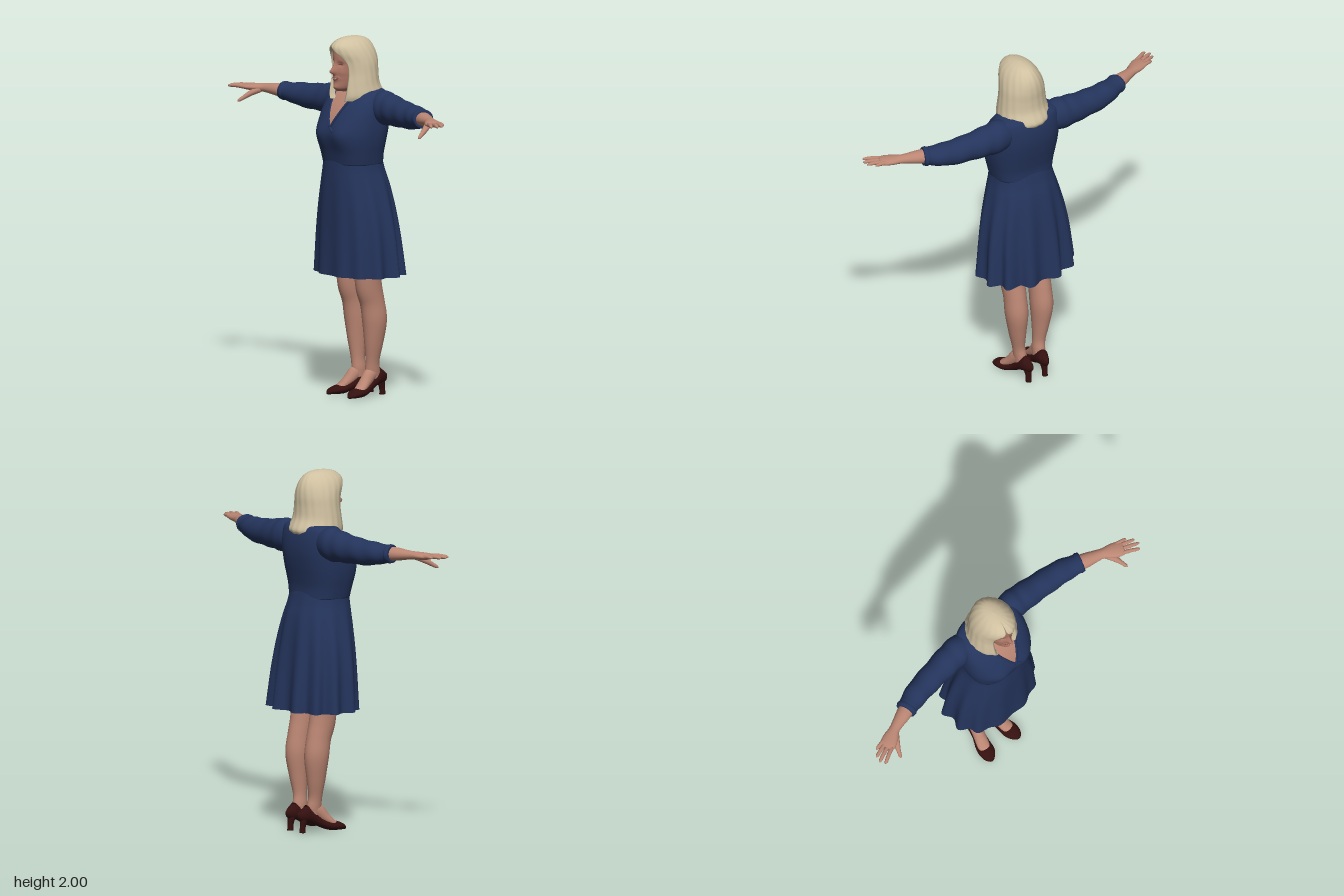
import * as THREE from 'three';
import { mergeVertices } from 'three/addons/utils/BufferGeometryUtils.js';

const flat = (name, color, side = THREE.FrontSide) => {
  const m = new THREE.MeshStandardMaterial({ color, side });
  m.name = name;
  return m;
};
const V = (x, y, z) => new THREE.Vector3(x, y, z);
const bell = (d, w) => Math.exp(-(d * d) / (w * w));
const spow = (v, e) => Math.sign(v) * Math.abs(v) ** e;

// Smooth interpolation through rows of numbers, t in 0..1
function sample(rows, t) {
  const f = t * (rows.length - 1), i = Math.min(Math.floor(f), rows.length - 2), s = f - i;
  const [a, b, c, d] = [-1, 0, 1, 2].map(k => rows[Math.max(0, Math.min(rows.length - 1, i + k))]);
  return b.map((_, k) => b[k] + 0.5 * s * (c[k] - a[k] +
    s * (2 * a[k] - 5 * b[k] + 4 * c[k] - d[k] + s * (3 * (b[k] - c[k]) + d[k] - a[k]))));
}

// Surface from a rule point(iu, iv), welded for smooth normals
function grid(name, mat, nu, nv, point) {
  const pos = [], idx = [];
  for (let j = 0; j <= nv; j++) for (let i = 0; i <= nu; i++) pos.push(...point(i, j).toArray());
  for (let j = 0; j < nv; j++) for (let i = 0; i < nu; i++) {
    const a = j * (nu + 1) + i, b = a + nu + 1;
    idx.push(a, a + 1, b + 1, a, b + 1, b);
  }
  let g = new THREE.BufferGeometry();
  g.setAttribute('position', new THREE.Float32BufferAttribute(pos, 3));
  g.setIndex(idx);
  g = mergeVertices(g, 1e-5);
  g.computeVertexNormals();
  const mesh = new THREE.Mesh(g, mat);
  mesh.name = name;
  return mesh;
}

// Closed tapering limb; rows are [x, y, z, sideRadius, upRadius]
function limb(name, mat, rows, ref, { nu = 20, nv = 30, ripple = () => 1 } = {}) {
  const at = t => V(...sample(rows, t));
  return grid(name, mat, nu, nv + 2, (i, j) => {
    const t = Math.max(0, Math.min(1, (j - 1) / nv)), r = sample(rows, t), a = i / nu * Math.PI * 2;
    const c = V(r[0], r[1], r[2]);
    if (j === 0 || j === nv + 2) return c;
    const dir = at(Math.min(1, t + 0.02)).sub(at(Math.max(0, t - 0.02))).normalize();
    const side = ref.clone().cross(dir).normalize(), up = dir.clone().cross(side), k = ripple(t, a);
    return c.addScaledVector(side, r[3] * k * Math.cos(a)).addScaledVector(up, r[4] * k * Math.sin(a));
  });
}

// Upright body; rows are [y, halfWidth, frontZ, backZ]
function body(name, mat, rows, { e = 1, nu = 72, nv = 48, bump = () => 0, fold = () => 1, open = false } = {}) {
  return grid(name, mat, nu, nv + 2, (i, j) => {
    const t = Math.max(0, Math.min(1, (j - 1) / nv)), [y, rx, zf, zb] = sample(rows, t);
    const a = i / nu * Math.PI * 2, cz = (zf + zb) / 2;
    const k = !open && (j === 0 || j === nv + 2) ? 0 : fold(a, t);
    const x = rx * spow(Math.sin(a), e) * k, c = Math.cos(a);
    return V(x, y, cz + (zf - cz) * spow(c, e) * k + Math.max(0, c) ** 0.5 * k * bump(x, y));
  });
}

// Front z of a body at (x, y)
function frontZ(rows, e, bump, x, y) {
  let lo = 0, hi = 1;
  for (let n = 0; n < 30; n++) {
    const m = (lo + hi) / 2;
    if (sample(rows, m)[0] < y) lo = m; else hi = m;
  }
  const [, rx, zf, zb] = sample(rows, lo);
  const s = Math.min(1, Math.abs(x) / rx) ** (1 / e), c = Math.sqrt(1 - s * s), cz = (zf + zb) / 2;
  return cz + (zf - cz) * c ** e + c ** 0.5 * bump(x, y);
}

const bodiceRows = [[1.3, .176, .182, -.1], [1.36, .188, .192, -.1], [1.42, .2, .202, -.11], [1.48, .207, .204, -.122],
  [1.55, .208, .186, -.132], [1.61, .205, .155, -.132], [1.66, .195, .118, -.125], [1.695, .175, .085, -.112], [1.715, .11, .055, -.09]];
const bust = (x, y) => 0.022 * (bell(x - 0.09, 0.07) + bell(x + 0.09, 0.07)) * bell(y - 1.46, 0.07);
const headRows = [[1.7, .025, .145, .06], [1.72, .046, .162, .02], [1.76, .062, .163, -.02], [1.8, .071, .162, -.04],
  [1.85, .077, .162, -.05], [1.9, .078, .163, -.05], [1.94, .07, .152, -.04], [1.975, .04, .11, -.01]];
const features = (x, y) => 0.034 * bell(x, 0.013) * bell(y - 1.81, 0.018) + 0.014 * bell(x, 0.011) * bell(y - 1.835, 0.025)
  - 0.011 * (bell(x - 0.031, 0.017) + bell(x + 0.031, 0.017)) * bell(y - 1.85, 0.013)
  + 0.006 * (bell(x - 0.042, 0.02) + bell(x + 0.042, 0.02)) * bell(y - 1.805, 0.02)
  + 0.007 * bell(x, 0.03) * bell(y - 1.772, 0.012) + 0.007 * bell(x, 0.02) * bell(y - 1.722, 0.015);

export function createModel() {
  const root = new THREE.Group();
  root.name = 'woman';
  const skin = flat('skin', 0xbb8673), faceSkin = flat('face skin', 0xad7766), dress = flat('dress navy', 0x24345c, THREE.DoubleSide);
  const blonde = flat('blonde hair', 0xcfc0a0, THREE.DoubleSide), leather = flat('dark red leather', 0x34100f);
  const lip = flat('lip', 0x95504a), tooth = flat('teeth', 0xd2bfb2), eye = flat('eye', 0x6b4a42);
  const X = V(1, 0, 0), Y = V(0, 1, 0), Z = V(0, 0, 1);
  const add = (...m) => root.add(...m);

  // Dress
  add(body('bodice', dress, bodiceRows, { e: 0.8, bump: bust }));
  const skirtRows = [[.68, .275, .2, -.2], [.78, .268, .198, -.192], [.9, .258, .196, -.18], [1.02, .24, .195, -.166],
    [1.12, .218, .194, -.152], [1.2, .198, .192, -.136], [1.27, .181, .188, -.115], [1.34, .173, .183, -.098]];
  add(body('skirt', dress, skirtRows, {
    e: 0.88, nu: 192, open: true,
    fold: (a, t) => 1 - (1 - t) ** 1.5 * Math.cos(12 * (a - Math.PI)) * (0.065 - 0.035 * Math.cos(a)),
  }));

  // Neckline with crossed collar edges
  const chest = (x, y, d) => V(x, y, frontZ(bodiceRows, 0.8, bust, x, y) + d);
  add(grid('neckline skin', skin, 16, 24, (i, j) => {
    const t = j / 24, y = 1.505 + 0.185 * t;
    return chest(0.012 * (1 - t) + (i / 8 - 1) * 0.088 * t ** 0.85, y, 0.004);
  }));
  for (const s of [-1, 1]) {
    const rows = [];
    for (let k = 0; k <= 10; k++) {
      const t = 1 - k / 10, p = chest(0.012 * (1 - t) + s * 0.09 * t ** 0.85, 1.505 + 0.185 * t, 0.003);
      rows.push([p.x, p.y, p.z, 0.007, 0.007]);
    }
    if (s < 0) rows.push([...chest(0.045, 1.485, 0).toArray(), 0.005, 0.005]);
    add(limb('collarEdge', dress, rows, Z, { nu: 8 }));
  }

  // Neck and head
  add(body('neck', skin, [[1.6, .075, .1, -.07], [1.66, .06, .1, -.055], [1.7, .053, .095, -.05], [1.78, .052, .1, -.05]], { nu: 32, nv: 12 }));
  add(body('head', faceSkin, headRows, { nu: 120, nv: 90, bump: features }));
  const facePatch = (name, mat, cx, cy, w, h, curve, d) => add(grid(name, mat, 12, 4, (i, j) => {
    const u = i / 6 - 1, x = cx + u * w, y = cy + curve * u * u + (j / 2 - 1) * h * Math.sqrt(1 - u * u);
    return V(x, y, frontZ(headRows, 1, features, x, y) + d);
  }));
  facePatch('lips', lip, 0, 1.768, 0.028, 0.009, 0.007, 0.002);
  facePatch('teeth', tooth, 0, 1.769, 0.02, 0.004, 0.005, 0.004);
  for (const s of [-1, 1]) facePatch('eye', eye, s * 0.031, 1.85, 0.013, 0.0035, -0.002, 0.002);

  // Hair; rows are [y, halfWidth, frontZ, backZ, rightOpening, leftOpening]
  const hairRows = [[1.65, .132, .165, -.122, .5, .5], [1.68, .146, .165, -.135, .52, .52], [1.74, .138, .156, -.107, .58, .58],
    [1.8, .13, .15, -.1, .62, .62], [1.86, .122, .158, -.1, .6, .64], [1.91, .108, .178, -.093, .32, .58],
    [1.95, .087, .178, -.075, -.16, .3], [1.98, .058, .145, -.045, -.22, .22], [1.994, .03, .1, -.005, -.22, .22], [2, 0, .045, .045, -.22, .22]];
  const hu = 110, hv = 60;
  add(grid('hair', blonde, hu, hv + 1, (i, j) => {
    const t = Math.max(0, j - 1) / hv, [y, rx, zf, zb, right, left] = sample(hairRows, t);
    const u = Math.max(0, Math.min(1, (i - 1) / (hu - 2))), a = right + u * (Math.PI * 2 - left - right);
    let k = 1 + 0.008 * Math.sin(19 * a + 6 * t);
    if (i === 0 || i === hu) k *= 0.8;
    if (j === 0) k *= 0.6;
    const cz = (zf + zb) / 2;
    return V(rx * Math.sin(a) * k, y + (j === 0 ? 0.01 : 0), cz + (zf - cz) * Math.cos(a) * k);
  }));

  for (const s of [-1, 1]) {
    const part = (name, mat, rows, ref, opt) => add(limb(name, mat, rows.map(([x, ...r]) => [s * x, ...r]), ref, opt));

    // Sleeve with soft wrinkles and a cuff
    part('sleeve', dress, [[.13, 1.625, -.03, .06, .07], [.18, 1.62, -.03, .078, .09], [.24, 1.612, -.028, .08, .09], [.32, 1.608, -.022, .076, .081],
      [.42, 1.603, -.012, .072, .073], [.52, 1.604, .002, .068, .066], [.6, 1.61, .024, .059, .053], [.65, 1.613, .04, .053, .047]], Y,
    { nu: 36, nv: 60, ripple: (t, a) => 1 + 0.028 * Math.sin(34 * t + 1.5 * Math.sin(a)) * Math.min(1, t * 3) });
    part('cuff', dress, [[.622, 1.612, .03, .055, .049], [.634, 1.613, .034, .06, .053], [.648, 1.613, .039, .055, .049]], Y, { nu: 28, nv: 8 });

    // Forearm and hand
    part('forearm', skin, [[.6, 1.612, .024, .044, .04], [.67, 1.615, .048, .042, .037], [.73, 1.617, .068, .033, .028], [.77, 1.618, .083, .03, .023],
      [.81, 1.618, .102, .041, .021], [.85, 1.618, .122, .045, .018], [.875, 1.618, .132, .038, .013]], Y);
    const fingers = [[.845, .088, .92, .105], [.86, .108, .952, .138], [.862, .132, .958, .17], [.85, .152, .94, .197]];
    for (const [x, z, tx, tz] of fingers)
      part('finger', skin, [[x, 1.618, z, .012, .012], [(x + tx) / 2, 1.622, (z + tz) / 2, .011, .011],
        [tx - .012, 1.62, tz - .004, .009, .008], [tx, 1.618, tz, .003, .003]], Y, { nu: 10, nv: 12 });
    part('thumb', skin, [[.775, 1.61, .1, .018, .018], [.805, 1.588, .142, .018, .016], [.822, 1.565, .178, .012, .012],
      [.832, 1.55, .202, .009, .009], [.836, 1.544, .21, .003, .003]], Y, { nu: 12, nv: 16 });

    // Leg and foot
    part('leg', skin, [[.085, 1, 0, .083, .09], [.085, .8, 0, .08, .085], [.084, .68, .002, .07, .077], [.083, .6, -.008, .065, .077],
      [.083, .52, -.03, .061, .072], [.083, .42, -.045, .062, .072], [.077, .3, -.044, .048, .056], [.068, .2, -.042, .035, .041],
      [.062, .14, -.046, .034, .044], [.06, .09, -.05, .03, .042]], Z, { nu: 28, nv: 48 });
    part('foot', skin, [[.06, .14, -.07, .03, .035], [.066, .115, -.025, .033, .04], [.074, .08, .012, .034, .032],
      [.084, .05, .05, .035, .022], [.09, .035, .08, .03, .015]], Y);

    // High-heeled shoe
    part('shoe', leather, [[.052, .125, -.128, .012, .03], [.054, .11, -.115, .026, .046], [.056, .102, -.09, .034, .044], [.06, .08, -.05, .035, .034],
      [.068, .052, -.005, .036, .029], [.082, .031, .045, .044, .027], [.09, .026, .085, .046, .025], [.097, .019, .118, .035, .018],
      [.1, .01, .138, .016, .009], [.101, .008, .144, .005, .004]], Y, { nu: 28, nv: 40 });
    part('heel', leather, [[.054, .11, -.105, .026, .028], [.054, .07, -.112, .021, .023], [.054, .035, -.118, .015, .017], [.054, 0, -.12, .016, .018]], Z, { nv: 14 });
  }
  return root;
}
